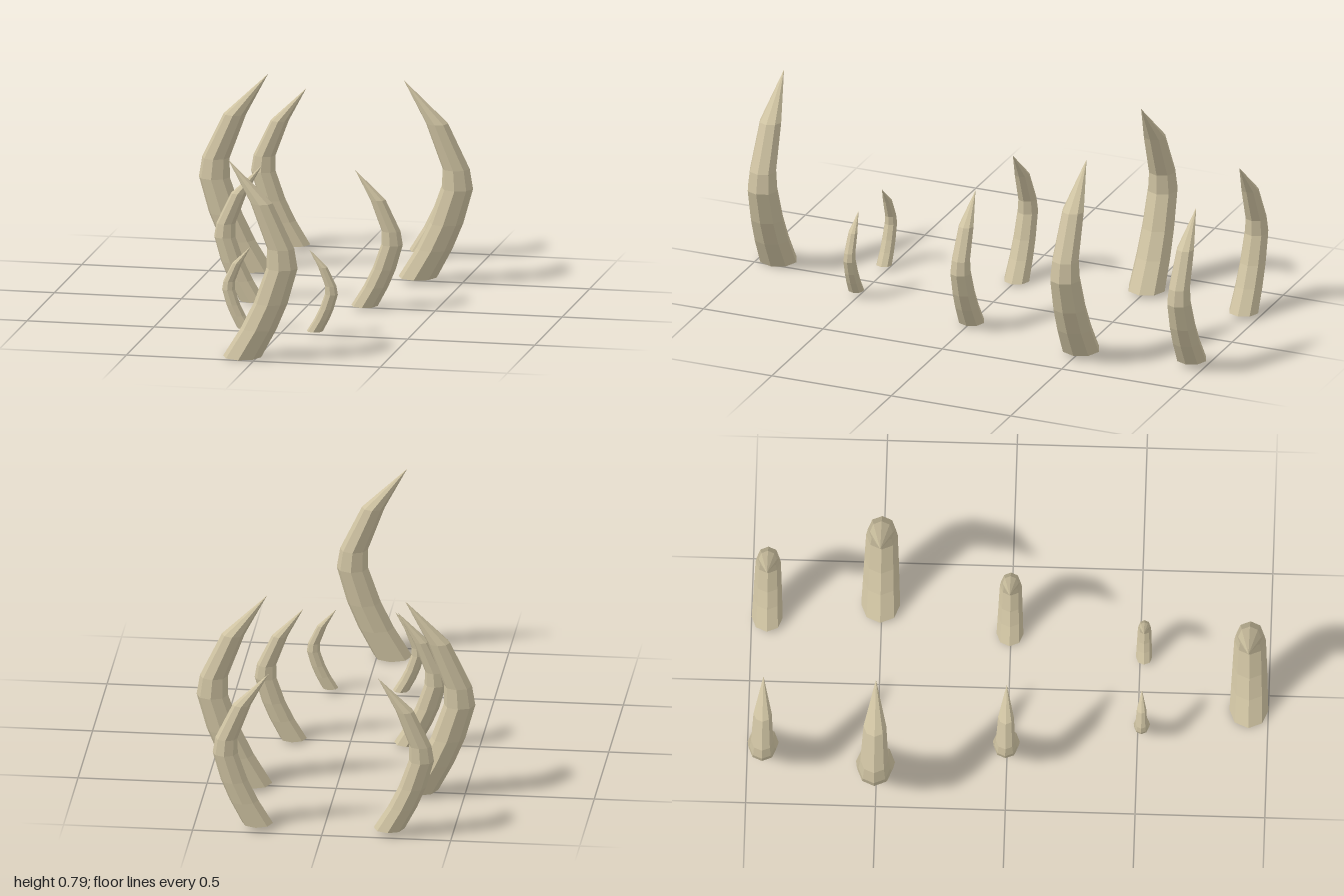
import * as THREE from 'three';

// Horn profile at full size: [height, radius, sideways offset of the centre]
const RINGS = [
  [0, 0.075, 0],
  [0.115, 0.07, 0.066],
  [0.218, 0.066, 0.113],
  [0.356, 0.061, 0.157],
  [0.434, 0.054, 0.151],
  [0.609, 0.044, 0.076],
  [0.773, 0, -0.055],
];

// Eight-sided tapered shell, open below, with each ring slid along x
function hornGeometry(side) {
  const profile = RINGS.map(([y, r]) => new THREE.Vector2(r, y));
  const geometry = new THREE.LatheGeometry(profile, 8);
  const pos = geometry.attributes.position;
  for (let i = 0; i < pos.count; i++) {
    const offset = RINGS[i % RINGS.length][2];
    pos.setX(i, pos.getX(i) + side * offset);
  }
  geometry.computeVertexNormals();
  return geometry;
}

export function createModel() {
  const bone = new THREE.MeshStandardMaterial({
    color: 0xcfc3a2, flatShading: true, side: THREE.DoubleSide,
  });
  bone.name = 'bone';

  const group = new THREE.Group();
  group.name = 'curvedHorns';
  const geometries = { 1: hornGeometry(1), [-1]: hornGeometry(-1) };

  function addHorn(name, side, x, y, z, scale) {
    const horn = new THREE.Mesh(geometries[side], bone);
    horn.name = name;
    horn.position.set(x, y, z);
    horn.scale.setScalar(scale);
    group.add(horn);
  }

  // Single horn at the front
  addHorn('frontHorn', 1, -0.06, 0, 0.925, 1);

  // Mirrored pairs: [name, x, y, z, scale]
  const pairs = [
    ['SmallHorn', 0.137, 0.018, 0.515, 0.417],
    ['MiddleHorn', 0.221, 0.008, -0.004, 0.69],
    ['LargeHorn', 0.322, 0.015, -0.505, 1],
    ['BackHorn', 0.255, 0.02, -0.94, 0.797],
  ];
  for (const [name, x, y, z, scale] of pairs) {
    addHorn('left' + name, 1, x, y, z, scale);
    addHorn('right' + name, -1, -x, y, z, scale);
  }
  return group;
}
